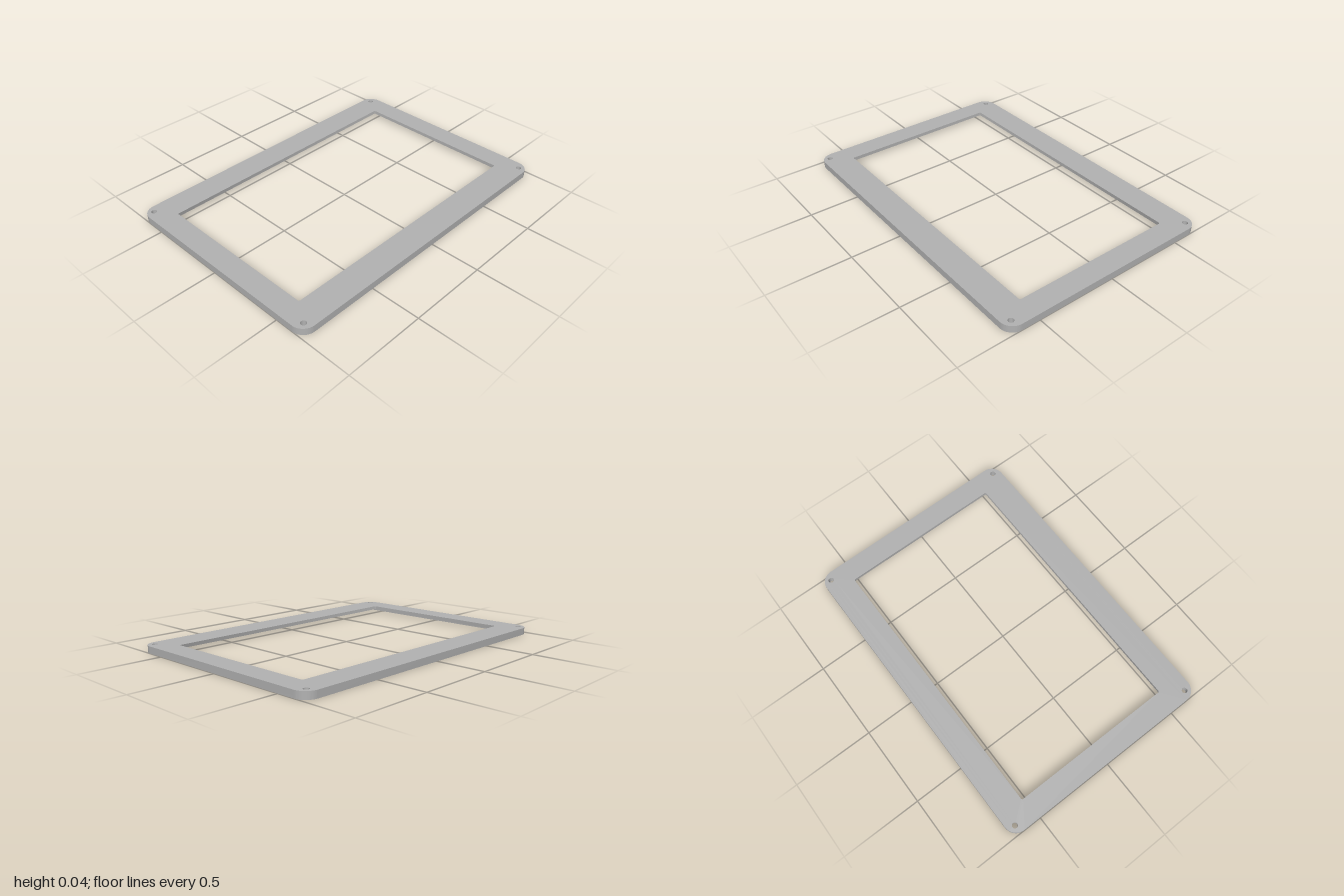
import * as THREE from 'three';
import { mergeGeometries, toCreasedNormals } from 'three/addons/utils/BufferGeometryUtils.js';

const HEIGHT = 0.043, LEDGE = 0.021;

// Counter-clockwise rounded rectangle, drawn in plan
function roundedRect(hw, hd, r, cy = 0) {
  const s = new THREE.Shape();
  s.absarc(hw - r, cy + hd - r, r, 0, Math.PI / 2);
  s.absarc(-hw + r, cy + hd - r, r, Math.PI / 2, Math.PI);
  s.absarc(-hw + r, cy - hd + r, r, Math.PI, Math.PI * 1.5);
  s.absarc(hw - r, cy - hd + r, r, Math.PI * 1.5, Math.PI * 2);
  s.closePath();
  return s;
}

function circle(x, y, r) {
  const s = new THREE.Shape();
  s.absarc(x, y, r, 0, Math.PI * 2);
  return s;
}

// Flat face with holes at a given height, looking up or down
function face(outline, holes, height, down = false) {
  const s = outline.clone();
  s.holes = holes;
  const g = new THREE.ShapeGeometry(s, 10);
  if (down) g.index.array.reverse();
  g.deleteAttribute('uv');
  g.translate(0, 0, height);
  return g.toNonIndexed();
}

// Upright wall along an outline, facing outward or inward
function wall(outline, z0, z1, inward = false) {
  const pts = outline.getPoints(10);
  if (inward) pts.reverse();
  const pos = [];
  pts.forEach((p, i) => {
    const q = pts[(i + 1) % pts.length];
    if (p.distanceTo(q) < 1e-6) return;
    pos.push(p.x, p.y, z0, q.x, q.y, z0, q.x, q.y, z1);
    pos.push(p.x, p.y, z0, q.x, q.y, z1, p.x, p.y, z1);
  });
  const g = new THREE.BufferGeometry();
  g.setAttribute('position', new THREE.Float32BufferAttribute(pos, 3));
  g.computeVertexNormals();
  return g;
}

export function createModel() {
  const group = new THREE.Group();
  group.name = 'bezelFrame';
  const grey = new THREE.MeshStandardMaterial({ color: 0xb2b2b2 });
  grey.name = 'grey';

  const outer = roundedRect(1, 0.693, 0.08);
  const opening = roundedRect(0.862, 0.521, 0.008, 0.004);
  const recess = roundedRect(0.92, 0.615, 0.008);
  const screwHoles = [];
  for (const x of [-0.948, 0.948])
    for (const y of [-0.643, 0.643]) screwHoles.push(circle(x, y, 0.017));

  const add = (name, ...parts) => {
    const g = toCreasedNormals(mergeGeometries(parts), 0.6);
    g.rotateX(-Math.PI / 2);
    const mesh = new THREE.Mesh(g, grey);
    mesh.name = name;
    group.add(mesh);
  };

  // Outer body: top, underside rim and rounded edge
  add('frameBody',
    face(outer, [opening, ...screwHoles], HEIGHT),
    face(outer, [recess, ...screwHoles], 0, true),
    wall(outer, 0, HEIGHT));

  // Stepped panel seat cut into the underside
  add('panelRecess',
    face(recess, [opening], LEDGE, true),
    wall(recess, 0, LEDGE, true));

  // Window edge and corner screw holes
  add('windowEdge', wall(opening, LEDGE, HEIGHT, true));
  add('screwHoles', ...screwHoles.map((h) => wall(h, 0, HEIGHT, true)));

  return group;
}
